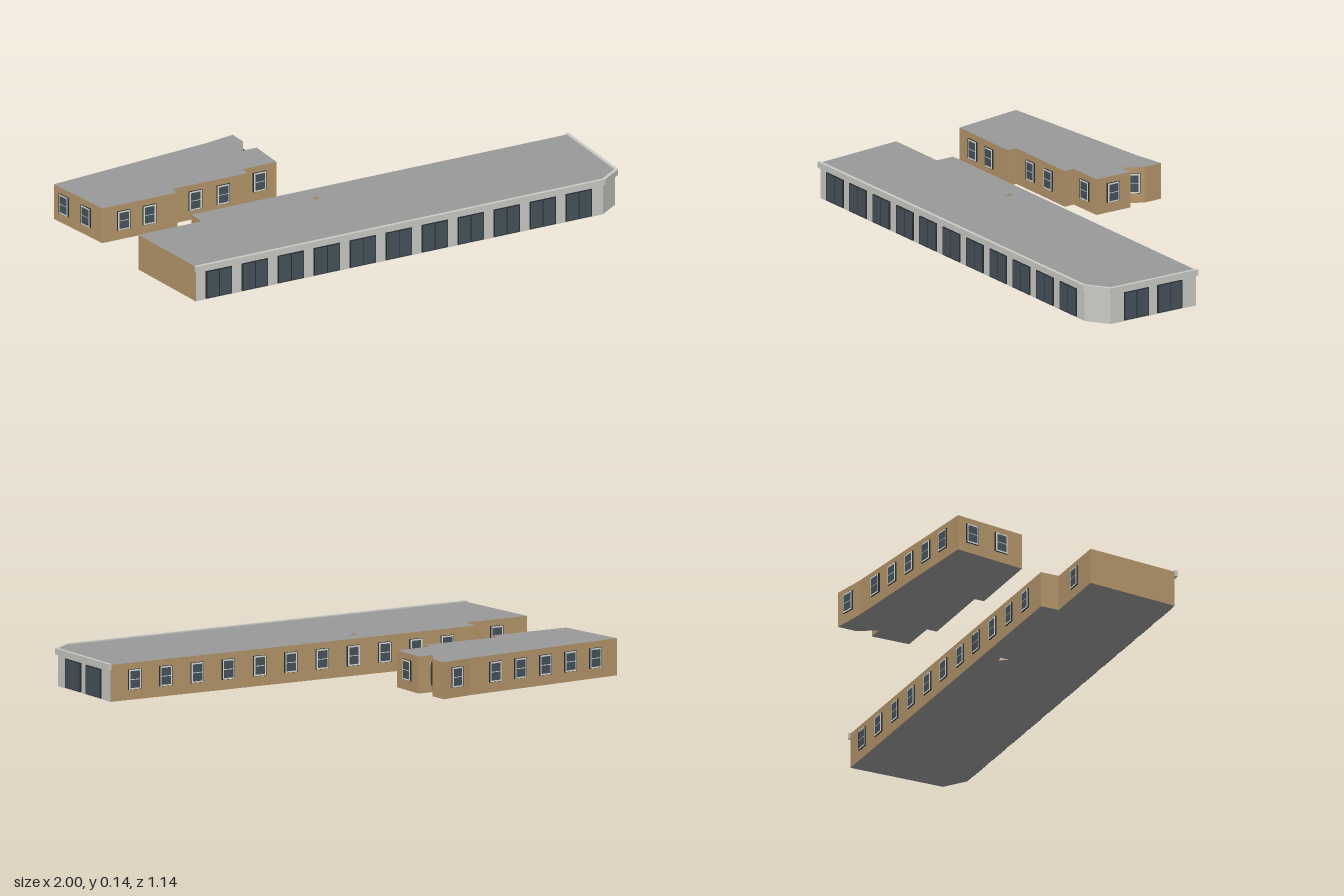
import * as THREE from 'three';

const paint = (name, color, side = THREE.FrontSide) => {
  const m = new THREE.MeshStandardMaterial({ color, side });
  m.name = name;
  return m;
};

export function createModel() {
  const roofGrey = paint('roof grey', 0x999999);
  const plaster = paint('pale plaster', 0xcacbc5);
  const brick = paint('tan brick', 0xb5966b);
  const glass = paint('dark glass', 0x46525b);
  const casing = paint('dark casing', 0x2b2f33);
  const white = paint('white frame', 0xdcdcd6);
  const H = 0.138;

  const box = (parent, name, mat, w, h, d, x, y, z) => {
    const mesh = new THREE.Mesh(new THREE.BoxGeometry(w, h, d), mat);
    mesh.name = name;
    mesh.position.set(x, y, z);
    parent.add(mesh);
  };

  // Two-pane sash window in a white frame
  const sashWindow = (wall, x) => {
    const g = new THREE.Group();
    g.name = 'sashWindow';
    g.position.set(x, 0.076, 0);
    box(g, 'casing', casing, 0.055, 0.076, 0.008, 0, 0, 0.001);
    box(g, 'frame', white, 0.05, 0.074, 0.002, 0, 0, 0.005);
    for (const s of [-1, 1]) box(g, 'pane', glass, 0.04, 0.03, 0.002, 0, s * 0.0165, 0.0058);
    wall.add(g);
  };

  // Tall shop window with a central mullion
  const shopWindow = (wall, x) => {
    const g = new THREE.Group();
    g.name = 'shopWindow';
    g.position.set(x, 0.058, 0);
    box(g, 'casing', casing, 0.108, 0.108, 0.008, 0, 0, 0.001);
    for (const s of [-1, 1]) box(g, 'pane', glass, 0.048, 0.102, 0.002, s * 0.0262, 0, 0.0048);
    wall.add(g);
  };

  // One wall between two plan points, with openings at fractions of its length
  const addWall = (building, a, b, { mat = brick, at = [], make = sashWindow, cornice = false } = {}) => {
    const dx = b[0] - a[0], dz = b[1] - a[1], len = Math.hypot(dx, dz);
    const g = new THREE.Group();
    g.name = 'wall';
    g.position.set((a[0] + b[0]) / 2, 0, (a[1] + b[1]) / 2);
    g.rotation.y = Math.atan2(dz, -dx);
    const panel = new THREE.Mesh(new THREE.PlaneGeometry(len, H), mat);
    panel.name = 'wallPanel';
    panel.position.y = H / 2;
    g.add(panel);
    at.forEach((f) => make(g, (0.5 - f) * len));
    if (cornice) box(g, 'cornice', plaster, len + 0.009, 0.023, 0.013, 0, 0.1305, 0.0045);
    building.add(g);
  };

  // Building from a plan outline (x, z) with one wall description per edge
  const addBuilding = (name, outline, walls, hole) => {
    const g = new THREE.Group();
    g.name = name;
    const toV = (p) => new THREE.Vector2(p[0], -p[1]);
    const shape = new THREE.Shape(outline.map(toV));
    if (hole) shape.holes.push(new THREE.Path(hole.map(toV)));
    const slab = new THREE.ShapeGeometry(shape);
    const roof = new THREE.Mesh(slab.clone().rotateX(-Math.PI / 2), roofGrey);
    roof.name = 'roof';
    roof.position.y = H;
    // Floor is the same slab facing down
    const under = slab.clone().rotateX(-Math.PI / 2);
    under.setIndex([...under.index.array].reverse());
    under.computeVertexNormals();
    const floor = new THREE.Mesh(under, roofGrey);
    floor.name = 'floor';
    g.add(roof, floor);
    outline.forEach((p, i) => addWall(g, p, outline[(i + 1) % outline.length], walls[i]));
    if (hole) hole.forEach((p, i) => addWall(g, p, hole[(i + 1) % hole.length]));
    return g;
  };

  const row = (n, first, step) => Array.from({ length: n }, (_, i) => first + i * step);

  // Long main building, plastered on the front and right-hand end
  const main = addBuilding('mainBuilding',
    [[-0.862, 0.205], [-0.603, 0.162], [-0.615, 0.09], [0.93, -0.166], [0.988, 0.207], [0.916, 0.278], [-0.762, 0.558]],
    [
      { at: [0.5] },
      {},
      { at: row(11, 0.08, 0.0855) },
      { mat: plaster, at: [0.31, 0.7], make: shopWindow, cornice: true },
      { mat: plaster, cornice: true },
      { mat: plaster, at: row(11, 0.06, 0.0884), make: shopWindow, cornice: true },
      {},
    ],
    [[-0.145, 0.08], [-0.135, 0.115], [-0.12, 0.08]]);

  // Smaller stepped brick annex behind
  const annex = addBuilding('annex',
    [[-0.998, -0.345], [-0.345, -0.525], [-0.225, -0.568], [-0.21, -0.495], [-0.24, -0.415], [-0.182, -0.425],
      [-0.158, -0.275], [-0.3, -0.25], [-0.292, -0.21], [-0.602, -0.16], [-0.595, -0.122], [-0.905, -0.072]],
    [
      { at: row(5, 0.15, 0.17) },
      { at: [0.5] },
      {},
      { at: [0.5] },
      {},
      { at: [0.52] },
      { at: [0.5] },
      {},
      { at: [0.33, 0.7] },
      {},
      { at: [0.38, 0.72] },
      { at: [0.33, 0.78] },
    ]);

  const model = new THREE.Group();
  model.name = 'buildings';
  model.add(main, annex);
  return model;
}
